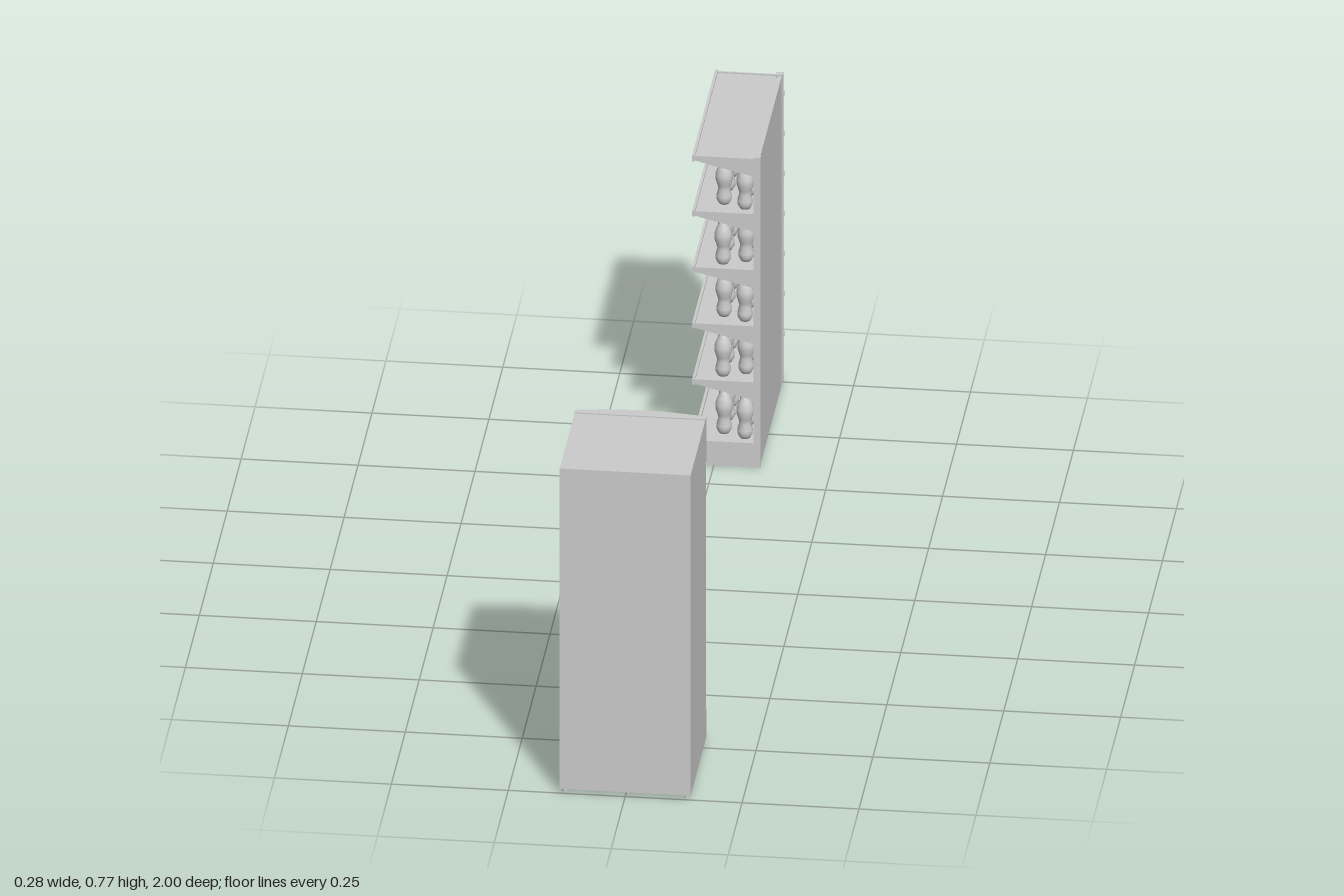
import * as THREE from 'three';
import { toCreasedNormals } from 'three/addons/utils/BufferGeometryUtils.js';

const grey = new THREE.MeshStandardMaterial({ color: 0xcccccc, side: THREE.DoubleSide });

function add(parent, name, geometry, x = 0, y = 0, z = 0) {
  const mesh = new THREE.Mesh(geometry, grey);
  mesh.name = name;
  mesh.position.set(x, y, z);
  parent.add(mesh);
  return mesh;
}

// Box given by its lower and upper limits on each axis
function box(parent, name, x0, x1, y0, y1, z0, z1) {
  return add(parent, name, new THREE.BoxGeometry(x1 - x0, y1 - y0, z1 - z0),
    (x0 + x1) / 2, (y0 + y1) / 2, (z0 + z1) / 2);
}

// Slab whose face bows out towards -z; inset pushes the face back
function bowedSlab(parent, name, x0, x1, y0, y1, backZ, inset = 0) {
  const shape = new THREE.Shape();
  shape.moveTo(x1, -backZ);
  for (let i = 0; i <= 16; i++) {
    const x = x1 + (x0 - x1) * i / 16;
    shape.lineTo(x, -(0.704 + inset + 0.014 * (x / 0.14) ** 2));
  }
  shape.lineTo(x0, -backZ);
  const g = new THREE.ExtrudeGeometry(shape, { depth: y1 - y0, bevelEnabled: false });
  g.rotateX(-Math.PI / 2);
  return add(parent, name, toCreasedNormals(g, 0.5), 0, y0, 0);
}

function createCooler() {
  const cooler = new THREE.Group();
  cooler.name = 'cooler';
  box(cooler, 'cabinet', -0.14, 0.14, 0.01, 0.77, 0.736, 1);
  box(cooler, 'doorSeal', -0.136, 0.136, 0.014, 0.766, 0.729, 0.737);

  // Bowed header and kick panel, with the recessed glass door between them
  bowedSlab(cooler, 'header', -0.14, 0.14, 0.665, 0.77, 0.731);
  bowedSlab(cooler, 'kickPanel', -0.14, 0.14, 0.01, 0.08, 0.731);
  bowedSlab(cooler, 'doorGlass', -0.118, 0.118, 0.096, 0.652, 0.734, 0.014);
  bowedSlab(cooler, 'doorTopRail', -0.14, 0.14, 0.65, 0.662, 0.731, 0.008);
  bowedSlab(cooler, 'doorBottomRail', -0.14, 0.14, 0.084, 0.098, 0.731, 0.008);
  bowedSlab(cooler, 'doorStileRight', -0.14, -0.117, 0.084, 0.662, 0.731, 0.002);
  bowedSlab(cooler, 'doorStileLeft', 0.117, 0.14, 0.084, 0.662, 0.731, 0.002);

  // Upright bar handle on two stand-offs
  add(cooler, 'handleBar', new THREE.CylinderGeometry(0.006, 0.006, 0.24, 16), 0.128, 0.37, 0.699);
  for (const y of [0.28, 0.46]) {
    const post = new THREE.CylinderGeometry(0.004, 0.004, 0.02, 12).rotateX(Math.PI / 2);
    add(cooler, 'handlePost', post, 0.128, y, 0.709);
  }
  for (const x of [-0.13, 0.13]) for (const z of [0.745, 0.988]) {
    add(cooler, 'foot', new THREE.CylinderGeometry(0.006, 0.006, 0.012, 12), x, 0.006, z);
  }
  return cooler;
}

// Waisted bottle standing on y = 0
function bottleGeometry() {
  const profile = [[0, 0], [0.011, 0.001], [0.016, 0.01], [0.0165, 0.02], [0.0125, 0.035],
    [0.0145, 0.045], [0.0185, 0.058], [0.0185, 0.07], [0.014, 0.085], [0.008, 0.095],
    [0.006, 0.102], [0, 0.104]].map(([r, y]) => new THREE.Vector2(r, y));
  return new THREE.LatheGeometry(profile, 16);
}

// Tapered side plate carrying a shelf
function bracketGeometry() {
  const shape = new THREE.Shape();
  shape.moveTo(0.088, 0);
  shape.lineTo(-0.04, 0);
  shape.lineTo(-0.04, -0.008);
  shape.lineTo(0.088, -0.04);
  return new THREE.ExtrudeGeometry(shape, { depth: 0.004, bevelEnabled: false });
}

function createShelving() {
  const unit = new THREE.Group();
  unit.name = 'shelving';
  const z0 = -1, z1 = -0.588;
  box(unit, 'backPanel', 0.09, 0.098, 0, 0.732, z0 + 0.004, z1 - 0.004);

  // Slotted uprights at both ends
  for (const z of [z0, z1 - 0.014]) box(unit, 'upright', 0.085, 0.1, 0, 0.735, z, z + 0.014);
  for (let i = 0; i < 7; i++) {
    box(unit, 'slotHook', 0.097, 0.102, 0.11 + i * 0.095, 0.122 + i * 0.095, z0, z0 + 0.006);
  }

  // Shelves with front rail, side lips and brackets
  const bracket = bracketGeometry();
  const levels = [0.198, 0.331, 0.464, 0.597, 0.728];
  for (const y of levels) {
    const shelf = new THREE.Group();
    shelf.name = 'shelf';
    unit.add(shelf);
    box(shelf, 'shelfBoard', -0.041, 0.09, y - 0.004, y, z0 + 0.003, z1 - 0.003);
    box(shelf, 'shelfRail', -0.046, -0.04, y - 0.009, y + 0.005, z0, z1);
    for (const z of [z0 + 0.002, z1 - 0.006]) {
      add(shelf, 'shelfBracket', bracket, 0, y, z);
      box(shelf, 'shelfLip', -0.041, 0.088, y - 0.004, y + 0.003, z, z + 0.004);
    }
  }

  // Base: stepped hollow plinth under the lowest shelf, open below
  box(unit, 'baseShelf', -0.041, 0.09, 0.048, 0.053, z0 + 0.003, z1 - 0.003);
  box(unit, 'baseRail', -0.046, -0.04, 0.043, 0.06, z0, z1);
  box(unit, 'baseUpperFront', -0.041, -0.037, 0.026, 0.046, z0 + 0.002, z1 - 0.002);
  box(unit, 'baseLowerFront', -0.044, -0.037, 0, 0.026, z0, z1);
  for (const z of [z0 + 0.001, z1 - 0.006]) {
    box(unit, 'baseSide', -0.041, 0.09, 0, 0.057, z, z + 0.005);
  }

  // Two staggered rows of bottles on the base and on every covered shelf
  const bottle = bottleGeometry();
  [0.053, ...levels.slice(0, 4)].forEach((y, tier) => {
    for (let row = 0; row < 2; row++) for (let i = 0; i < 6; i++) {
      const shift = ((tier + row) % 2) * 0.018;
      add(unit, 'bottle', bottle, row ? 0.063 : 0.016, y, -0.972 + shift + i * 0.066);
    }
  });
  return unit;
}

export function createModel() {
  const model = new THREE.Group();
  model.name = 'shopFixtures';
  model.add(createCooler(), createShelving());
  return model;
}
